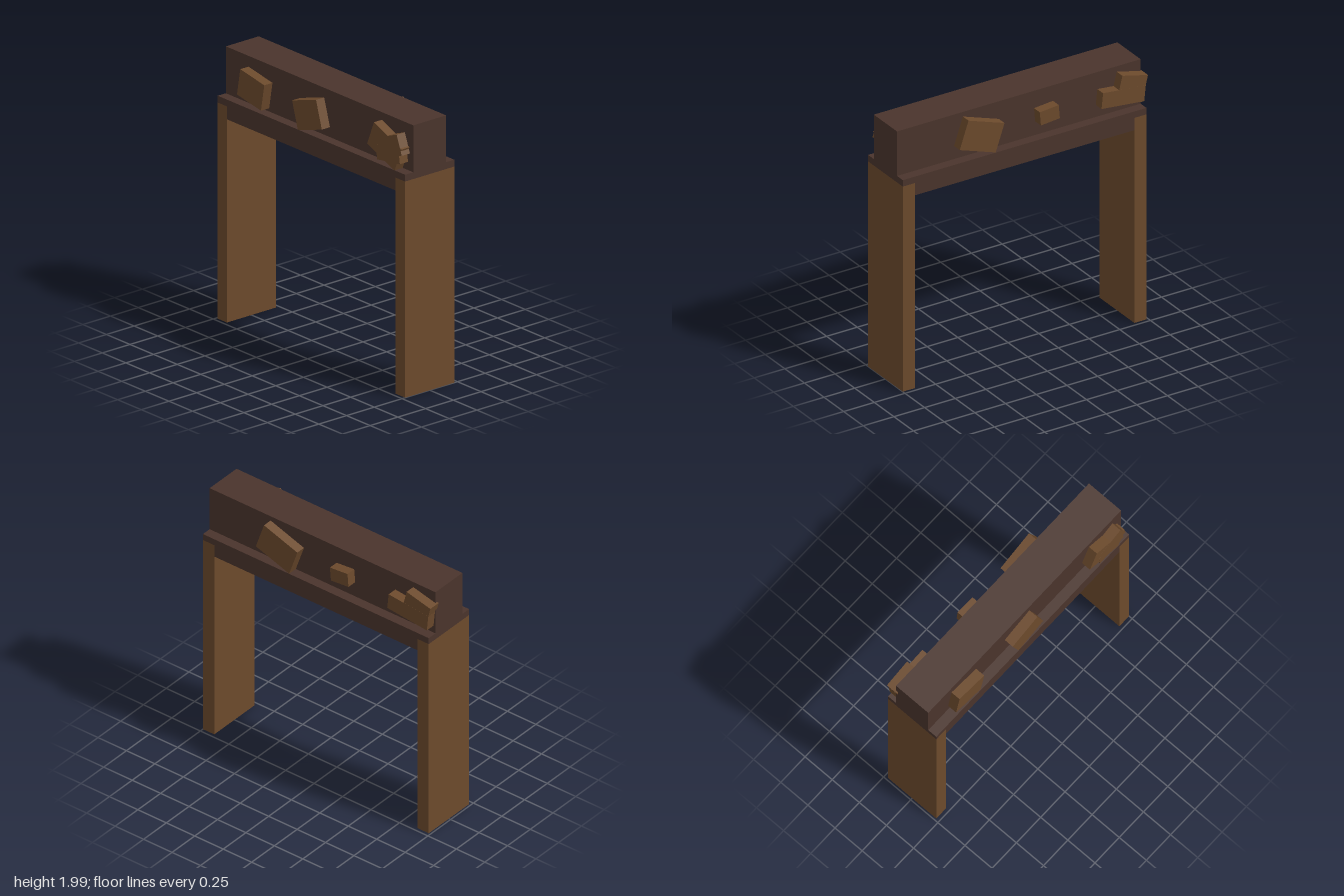
import * as THREE from 'three';

const darkWood = new THREE.MeshStandardMaterial({ color: 0x4a342c });
darkWood.name = 'darkWood';
const lightWood = new THREE.MeshStandardMaterial({ color: 0x6c4a2c });
lightWood.name = 'lightWood';

// Box given by its min and max corners
function box(name, material, [x0, y0, z0], [x1, y1, z1]) {
  const mesh = new THREE.Mesh(new THREE.BoxGeometry(x1 - x0, y1 - y0, z1 - z0), material);
  mesh.position.set((x0 + x1) / 2, (y0 + y1) / 2, (z0 + z1) / 2);
  mesh.name = name;
  return mesh;
}

export function createModel() {
  const group = new THREE.Group();
  group.name = 'woodenGateway';
  const left = -0.985, right = 1, depth = 0.222, beamDepth = 0.148;

  // Crossbeam: thick upper beam on a wider ledge, with a filler between the posts
  group.add(box('upperBeam', darkWood, [left, 1.64, -beamDepth], [right, 1.985, beamDepth]));
  group.add(box('beamLedge', darkWood, [left, 1.59, -depth], [right, 1.64, depth]));
  group.add(box('lowerBeam', darkWood, [-0.887, 1.495, -depth], [0.9, 1.59, depth]));

  // Posts
  group.add(box('rightPost', lightWood, [left, 0, -depth], [-0.887, 1.59, depth]));
  group.add(box('leftPost', lightWood, [0.9, 0, -depth], [right, 1.59, depth]));

  // Crooked boards nailed to the beam: x, y, width, height, tilt in degrees, side
  const boards = [
    [-0.636, 1.785, 0.258, 0.2, -10, 1],
    [-0.04, 1.775, 0.265, 0.21, 17, 1],
    [0.778, 1.783, 0.312, 0.19, -22.2, 1],
    [0.837, 1.8, 0.215, 0.15, 21, 1],
    [0.816, 1.738, 0.243, 0.11, 8, 1],
    [0.353, 1.795, 0.31, 0.22, 19, -1],
    [-0.198, 1.805, 0.155, 0.105, -5, -1],
    [-0.8, 1.775, 0.35, 0.12, 6, -1],
    [-0.87, 1.82, 0.215, 0.2, 14, -1],
  ];
  const inner = 0.13;
  boards.forEach(([x, y, w, h, tilt, side], i) => {
    // Overlapping boards differ by a hair in depth
    const thick = depth - inner - (i % 3) * 0.0005;
    const mesh = new THREE.Mesh(new THREE.BoxGeometry(w, h, thick), lightWood);
    mesh.position.set(x, y, side * (inner + thick / 2));
    mesh.rotation.z = THREE.MathUtils.degToRad(tilt);
    mesh.name = (side > 0 ? 'frontBoard' : 'backBoard') + (i + 1);
    group.add(mesh);
  });

  return group;
}
